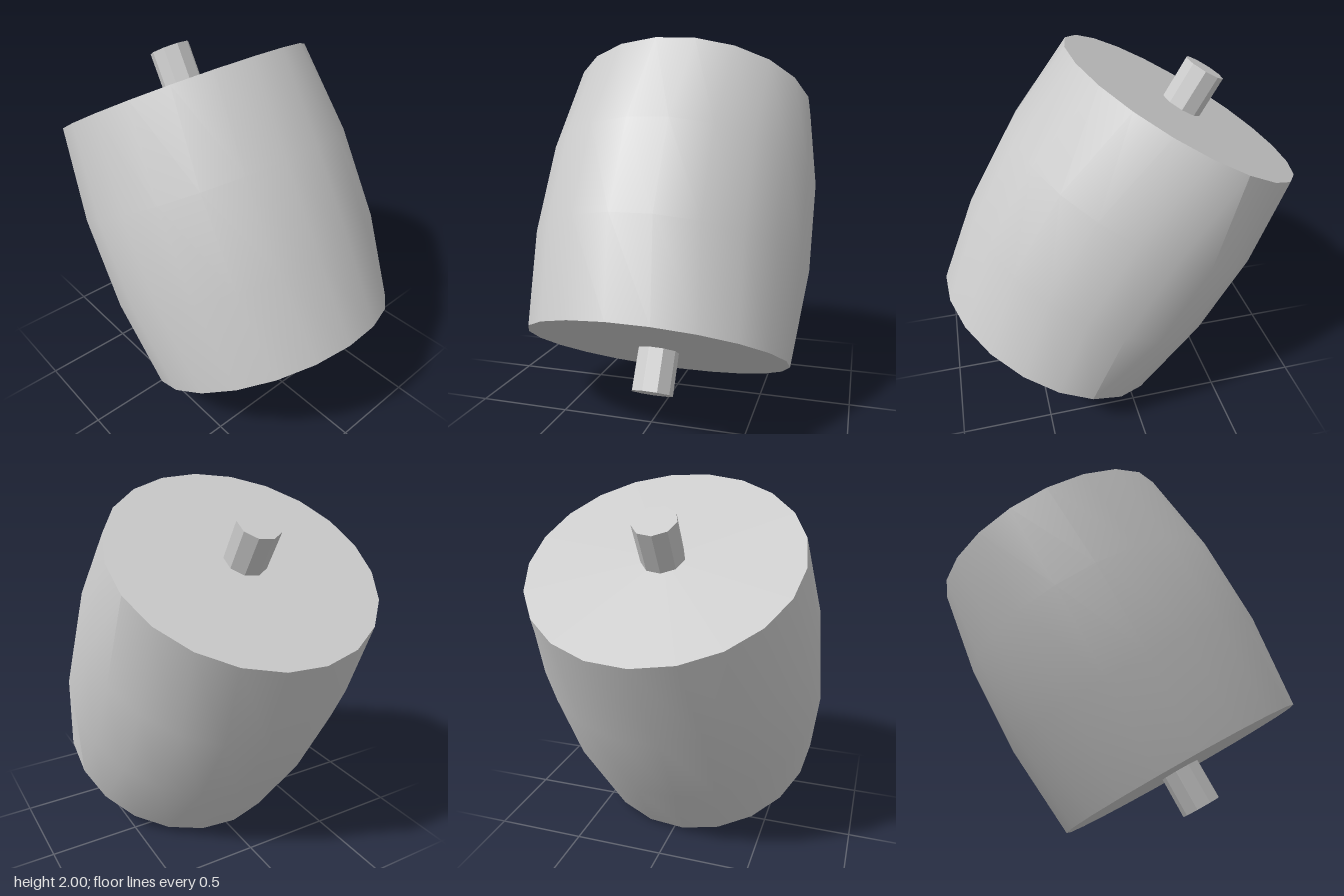
import * as THREE from 'three';

export function createModel() {
  const model = new THREE.Group();
  model.name = 'tiltedDrum';

  const grey = new THREE.MeshStandardMaterial({ color: 0xcccccc });
  grey.name = 'light grey';

  // Drum and axle lean together inside this group
  const drum = new THREE.Group();
  drum.name = 'drum';
  drum.position.y = 1;
  drum.rotation.z = Math.PI / 6;
  model.add(drum);

  const add = (name, geometry) => {
    const mesh = new THREE.Mesh(geometry, grey);
    mesh.name = name;
    drum.add(mesh);
    return mesh;
  };

  const endSides = 21, midSides = 22;
  const endRadius = 0.703, midRadius = 0.764, half = 0.75;

  // Bulging drum wall, smooth shaded
  const profile = [[endRadius, -half], [midRadius, -0.25], [midRadius, 0.25], [endRadius, half]]
    .map(([r, y]) => new THREE.Vector2(r, y));
  const wall = new THREE.LatheGeometry(profile, midSides);

  // The end rings have one side fewer than the bulge
  for (let i = 0; i <= midSides; i++) {
    const angle = Math.round(i * endSides / midSides) / endSides * Math.PI * 2;
    for (const j of [0, 3]) {
      wall.attributes.position.setXYZ(i * 4 + j,
        endRadius * Math.sin(angle), profile[j].y, endRadius * Math.cos(angle));
    }
  }
  add('drumWall', wall);

  // Flat drum ends, with corners matching the wall
  for (const s of [1, -1]) {
    const end = new THREE.CircleGeometry(endRadius, endSides, -s * Math.PI / 2);
    end.rotateX(-s * Math.PI / 2);
    end.translate(0, s * half, 0);
    add(s > 0 ? 'drumTop' : 'drumBottom', end);
  }

  // Nine-sided faceted axle running through the drum
  const axle = new THREE.CylinderGeometry(0.113, 0.113, 1.954, 9).toNonIndexed();
  axle.computeVertexNormals();
  add('axle', axle);

  return model;
}
